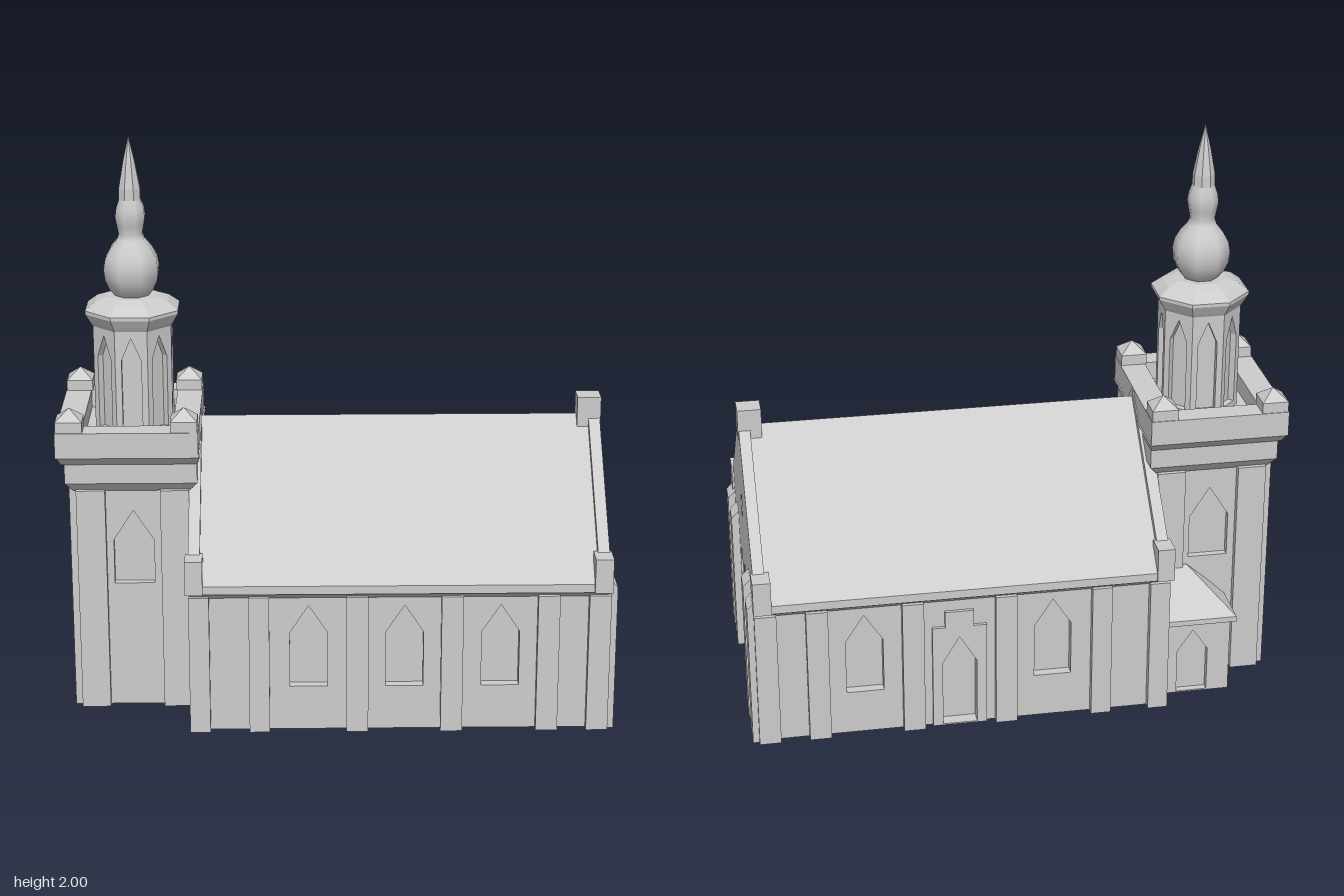
import * as THREE from 'three';

export function createModel() {
  const root = new THREE.Group();
  root.name = 'church';
  const stone = new THREE.MeshStandardMaterial({ color: 0xcccccc });
  stone.name = 'paleStone';

  const add = (name, geo, parent = root) => {
    const m = new THREE.Mesh(geo, stone);
    m.name = name;
    parent.add(m);
    return m;
  };
  // Box given by its limits
  const block = (name, x0, x1, y0, y1, z0, z1, parent) =>
    add(name, new THREE.BoxGeometry(x1 - x0, y1 - y0, z1 - z0)
      .translate((x0 + x1) / 2, (y0 + y1) / 2, (z0 + z1) / 2), parent);
  // Four-sided block whose top differs in size from its base
  const frustum = (name, cx, cz, y0, y1, hx0, hz0, hx1, hz1, parent) => {
    const g = new THREE.BoxGeometry(2, y1 - y0, 2).toNonIndexed();
    const p = g.attributes.position;
    for (let i = 0; i < p.count; i++) {
      const top = p.getY(i) > 0;
      p.setX(i, p.getX(i) * (top ? hx1 : hx0));
      p.setZ(i, p.getZ(i) * (top ? hz1 : hz0));
    }
    g.computeVertexNormals();
    return add(name, g.translate(cx, (y0 + y1) / 2, cz), parent);
  };
  const poly = (pts) => pts.map(([x, y]) => new THREE.Vector2(x, y));
  // Pointed window outline
  const lancet = (cx, half, y0, shoulder, tip) =>
    [[cx - half, y0], [cx + half, y0], [cx + half, shoulder], [cx, tip], [cx - half, shoulder]];
  const rect = (x0, x1, y0, y1) => [[x0, y0], [x1, y0], [x1, y1], [x0, y1]];
  // Wall slab with openings, its inner face at the given distance along the turned z axis
  const wall = (name, outline, holes, depth, inner, turn, cx = 0, cz = 0, parent = root) => {
    const s = new THREE.Shape(poly(outline));
    holes.forEach((h) => s.holes.push(new THREE.Path(poly(h))));
    const g = new THREE.ExtrudeGeometry(s, { depth, bevelEnabled: false });
    return add(name, g.translate(0, 0, inner).rotateY(turn).translate(cx, 0, cz), parent);
  };
  const Q = Math.PI / 2;

  // ---- Nave ----
  const nave = new THREE.Group();
  nave.name = 'nave';
  root.add(nave);
  block('naveCore', -0.47, 0.9, 0, 0.53, -0.42, 0.42, nave);
  const win = (x) => lancet(x, 0.065, 0.16, 0.36, 0.46);
  const door = lancet(-0.235, 0.06, 0.005, 0.25, 0.35);
  wall('frontWall', rect(-0.48, 0.92, 0, 0.5), [-0.095, 0.235, 0.565].map(win), 0.035, 0.42, 0, 0, 0, nave);
  wall('backWall', rect(-0.92, 0.48, 0, 0.5), [win(0.095), door, win(-0.565)], 0.035, 0.42, 2 * Q, 0, 0, nave);
  wall('doorSurround', [[-0.33, 0], [-0.14, 0], [-0.14, 0.39], [-0.185, 0.39], [-0.185, 0.45],
    [-0.285, 0.45], [-0.285, 0.39], [-0.33, 0.39]], [door], 0.012, 0.455, 2 * Q, 0, 0, nave);

  // Gable walls rising above the roof
  const gable = [[-0.455, 0], [0.455, 0], [0.455, 0.61], [0, 1.03], [-0.455, 0.61]];
  const diamond = [[0, 0.64], [0.04, 0.69], [0, 0.74], [-0.04, 0.69]];
  wall('eastGable', gable, [...[-0.148, 0, 0.148].map(win), diamond], 0.04, 0.895, Q, 0, 0, nave);
  wall('westGable', gable, [], 0.04, 0.465, -Q, 0, 0, nave);
  block('ridgeBlock', 0.855, 0.938, 0.96, 1.07, -0.04, 0.04, nave);

  // Roof and the moulding below its eaves
  wall('roof', [[-0.49, 0.515], [0.49, 0.515], [0.49, 0.545], [0, 1], [-0.49, 0.545]],
    [], 1.375, -0.475, Q, 0, 0, nave);
  frustum('eavesMoulding', 0.215, 0, 0.49, 0.517, 0.71, 0.457, 0.72, 0.488, nave);

  // Buttresses and corner blocks
  for (const s of [-1, 1]) {
    const span = (a, b) => (s > 0 ? [a, b] : [-b, -a]);
    for (const [a, b] of [[-0.505, -0.435], [-0.3, -0.23], [0.035, 0.11], [0.36, 0.435], [0.69, 0.765], [0.865, 0.94]])
      block('sideButtress', a, b, 0, 0.5, ...span(0.44, 0.483), nave);
    for (const [a, b] of [[0.22, 0.3], [0.385, 0.467]]) {
      block('endButtress', 0.92, 0.962, 0, 0.525, ...span(a, b), nave);
      wall('endButtressCap', [[-0.962, 0.525], [-0.92, 0.525], [-0.92, 0.553], [-0.935, 0.553]],
        [], b - a, s > 0 ? -b : a, 2 * Q, 0, 0, nave);
    }
    for (const [a, b] of [[-0.515, -0.455], [0.88, 0.942]])
      block('cornerBlock', a, b, 0.515, 0.637, ...span(0.415, 0.497), nave);
  }

  // ---- Tower ----
  const tower = new THREE.Group();
  tower.name = 'tower';
  root.add(tower);
  const cx = -0.7;
  block('towerCore', cx - 0.17, cx + 0.17, 0, 0.85, -0.21, 0.21, tower);
  const high = lancet(0, 0.07, 0.46, 0.62, 0.73);
  const low = lancet(0, 0.06, 0.16, 0.27, 0.36);
  for (const turn of [0, 2 * Q])
    wall('towerWall', rect(-0.195, 0.195, 0, 0.84), [high], 0.025, 0.21, turn, cx, 0, tower);
  wall('towerWestWall', rect(-0.235, 0.235, 0, 0.84), [high, low], 0.025, 0.17, -Q, cx, 0, tower);
  wall('towerEastWall', rect(-0.235, 0.235, 0, 0.84), [], 0.025, 0.17, Q, cx, 0, tower);
  for (const sx of [-1, 1]) for (const sz of [-1, 1]) {
    frustum('frontPilaster', cx + sx * 0.145, sz * 0.235, 0, 0.81, 0.05, 0.025, 0.05, 0.025, tower);
    frustum('sidePilaster', cx + sx * 0.195, sz * 0.185, 0, 0.81, 0.025, 0.05, 0.025, 0.05, tower);
  }

  // Cornice, parapet and corner pinnacles
  const px = -0.714;
  frustum('lowerMoulding', cx - 0.003, 0, 0.805, 0.84, 0.2, 0.24, 0.228, 0.268, tower);
  frustum('corniceBand', cx - 0.003, 0, 0.84, 0.91, 0.228, 0.268, 0.228, 0.268, tower);
  frustum('upperMoulding', px + 0.005, 0, 0.91, 0.94, 0.232, 0.27, 0.245, 0.295, tower);
  block('towerDeck', px - 0.2, px + 0.2, 0.93, 0.965, -0.25, 0.25, tower);
  for (const s of [-1, 1]) {
    frustum('parapetLong', px, s * 0.2525, 0.94, 1.03, 0.245, 0.0425, 0.245, 0.0425, tower);
    frustum('parapetShort', px + s * 0.2, 0, 0.94, 1.03, 0.045, 0.25, 0.045, 0.25, tower);
    for (const t of [-1, 1]) {
      frustum('pinnacleBase', px + s * 0.196, t * 0.246, 1.03, 1.068, 0.046, 0.046, 0.046, 0.046, tower);
      frustum('pinnacleTip', px + s * 0.196, t * 0.246, 1.068, 1.107, 0.046, 0.046, 0.0005, 0.0005, tower);
    }
  }

  // ---- Lantern ----
  const lantern = new THREE.Group();
  lantern.name = 'lantern';
  lantern.position.x = cx;
  root.add(lantern);
  const K = 1 / Math.cos(Math.PI / 8);
  // Eight-sided turned form from half-width and height pairs
  const turned = (name, pts, flat) => {
    let g = new THREE.LatheGeometry(poly(pts.map(([r, y]) => [r * K, y])), 8, Math.PI / 8);
    if (flat) {
      g = g.toNonIndexed();
      g.computeVertexNormals();
    }
    return add(name, g, lantern);
  };
  turned('lanternCore', [[0.112, 0.95], [0.112, 1.36]], true);
  for (let i = 0; i < 8; i++)
    wall('lanternArch', rect(-0.056, 0.056, 0.95, 1.36), [lancet(0, 0.034, 0.985, 1.24, 1.32)],
      0.025, 0.11, i * Math.PI / 4, 0, 0, lantern);
  turned('lanternCap', [[0.13, 1.335], [0.142, 1.355], [0.16, 1.388], [0.16, 1.4],
    [0.125, 1.428], [0.085, 1.443], [0, 1.445]], true);
  turned('bulb', [[0.055, 1.44], [0.075, 1.465], [0.09, 1.5], [0.094, 1.54], [0.088, 1.575],
    [0.07, 1.61], [0.047, 1.64], [0.04, 1.66], [0.046, 1.69], [0.051, 1.72], [0.047, 1.75], [0.037, 1.78]]);
  turned('spire', [[0.037, 1.775], [0.036, 1.82], [0.02, 1.91], [0, 2]], true);

  // ---- Porch in the corner behind the tower ----
  const porch = new THREE.Group();
  porch.name = 'porch';
  root.add(porch);
  block('porchCore', -0.75, -0.47, 0, 0.29, -0.37, -0.2, porch);
  wall('porchWall', rect(0.48, 0.75, 0, 0.29), [lancet(0.615, 0.055, 0.005, 0.17, 0.25)],
    0.025, 0.37, 2 * Q, 0, 0, porch);
  block('porchEaves', -0.768, -0.48, 0.28, 0.3, -0.412, -0.2, porch);
  // Hipped roof: eave corners, then the ridge against the tower
  const A = [-0.768, 0.3, -0.412], B = [-0.48, 0.3, -0.412], C = [-0.768, 0.3, -0.22];
  const R = [-0.62, 0.44, -0.25], S = [-0.48, 0.44, -0.25];
  const hip = new THREE.BufferGeometry();
  hip.setAttribute('position', new THREE.Float32BufferAttribute(
    [A, R, B, B, R, S, A, C, R].flat(), 3));
  hip.computeVertexNormals();
  add('porchRoof', hip, porch);

  return root;
}
